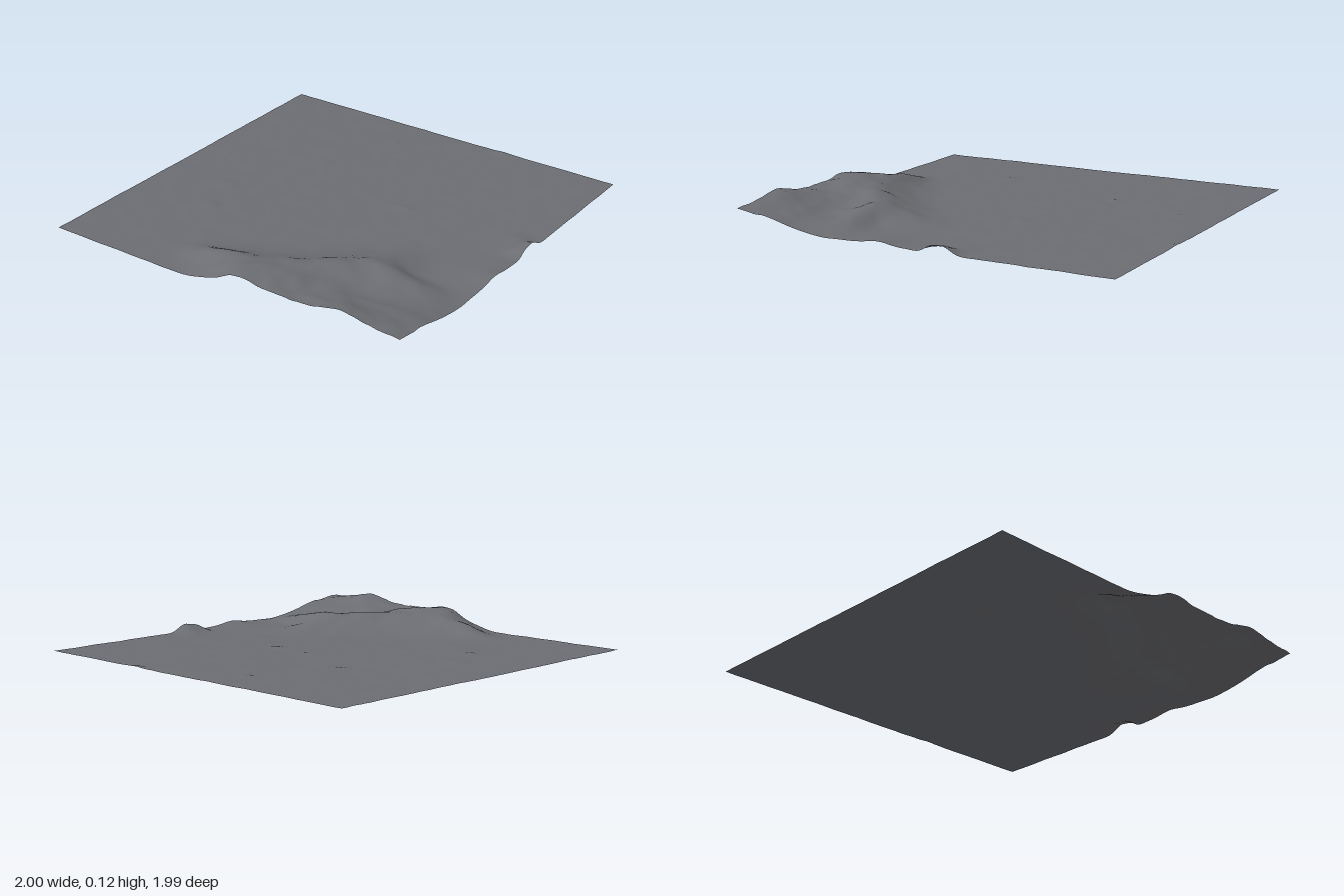
import * as THREE from 'three';

// Hill heights in thousandths: columns x = -0.5..1 step 0.15, rows z = 0.1..1 step 0.1
const HILLS = [
  [0, 0, 0, 0, 0, 0, 0, 0, 0, 2, 8],
  [0, 0, 0, 0, 0, 0, 2, 10, 3, 5, 20],
  [0, 0, 0, 0, 0, 0, 10, 28, 5, 3, 8],
  [0, 0, 0, 0, 0, 8, 35, 50, 15, 5, 3],
  [0, 0, 0, 0, 5, 30, 62, 80, 62, 30, 3],
  [0, 0, 0, 8, 25, 55, 88, 60, 42, 30, 15],
  [0, 0, 12, 35, 58, 85, 72, 48, 40, 42, 35],
  [0, 8, 48, 76, 87, 92, 75, 62, 65, 65, 60],
  [0, 0, 18, 60, 104, 95, 78, 80, 95, 85, 72],
  [0, 0, 2, 35, 98, 85, 85, 95, 124, 98, 84],
];

// Isolated mounds: x, z, height, x radius, z radius
const MOUNDS = [
  [1, -0.14, 0.04, 0.08, 0.06], [0.98, -0.07, 0.02, 0.07, 0.035],
  [0.88, -0.2, 0.006, 0.06, 0.05], [-0.55, 0.38, 0.006, 0.04, 0.04],
  [-0.65, 0.15, 0.005, 0.07, 0.04], [-0.36, -0.34, 0.006, 0.03, 0.03],
  [0.27, -0.15, 0.006, 0.05, 0.03], [-0.2, -0.77, 0.005, 0.03, 0.03],
  [0.35, -0.98, 0.006, 0.04, 0.02], [0.05, -0.18, 0.004, 0.04, 0.03],
];

const clamp = THREE.MathUtils.clamp;

function cubic(a, b, c, d, t) {
  return b + 0.5 * t * (c - a + t * (2 * a - 5 * b + 4 * c - d + t * (3 * (b - c) + d - a)));
}

// Smooth interpolation across the hill grid
function hillHeight(x, z) {
  const u = clamp((x + 0.5) / 0.15, 0, 10), v = clamp((z - 0.1) / 0.1, 0, 9);
  const i = Math.min(Math.floor(u), 9), j = Math.min(Math.floor(v), 8);
  const at = (c, r) => HILLS[clamp(r, 0, 9)][clamp(c, 0, 10)];
  const row = (r) => cubic(at(i - 1, r), at(i, r), at(i + 1, r), at(i + 2, r), u - i);
  const fade = z < 0.1 ? Math.max(0, 1 - (0.1 - z) / 0.1) : 1;
  return Math.max(0, cubic(row(j - 1), row(j), row(j + 1), row(j + 2), v - j)) * fade / 1000;
}

// Seeded value noise in -1..1
function hash(i, j) {
  const s = Math.sin(i * 127.1 + j * 311.7) * 43758.5453;
  return (s - Math.floor(s)) * 2 - 1;
}
function noise(x, z) {
  const i = Math.floor(x), j = Math.floor(z);
  const s = THREE.MathUtils.smoothstep(x - i, 0, 1), t = THREE.MathUtils.smoothstep(z - j, 0, 1);
  const lerp = THREE.MathUtils.lerp;
  return lerp(lerp(hash(i, j), hash(i + 1, j), s), lerp(hash(i, j + 1), hash(i + 1, j + 1), s), t);
}

function groundHeight(x, z) {
  const hill = hillHeight(x, z);
  let y = 0.008 + hill;
  for (const [mx, mz, h, rx, rz] of MOUNDS) {
    y += h * Math.exp(-(((x - mx) / rx) ** 2) - ((z - mz) / rz) ** 2);
  }
  // Faint ripples on the plain, rougher crags on the hills
  const rough = 0.0012 + Math.min(hill, 0.08) * 0.06;
  y += rough * (noise(x * 12 + 40, z * 12 + 40) + 0.4 * noise(x * 26 + 90, z * 26 + 90));
  return Math.max(0, y);
}

export function createModel() {
  const model = new THREE.Group();
  model.name = 'landscape';

  // Thin open sheet raised into hills
  const geometry = new THREE.PlaneGeometry(2, 1.99, 120, 120).rotateX(-Math.PI / 2);
  const p = geometry.attributes.position;
  for (let i = 0; i < p.count; i++) p.setY(i, groundHeight(p.getX(i), p.getZ(i)));
  geometry.computeVertexNormals();

  const terrain = new THREE.Mesh(
    geometry,
    new THREE.MeshStandardMaterial({ color: 0x6c6d72, side: THREE.DoubleSide })
  );
  terrain.name = 'terrain';
  model.add(terrain);
  return model;
}
